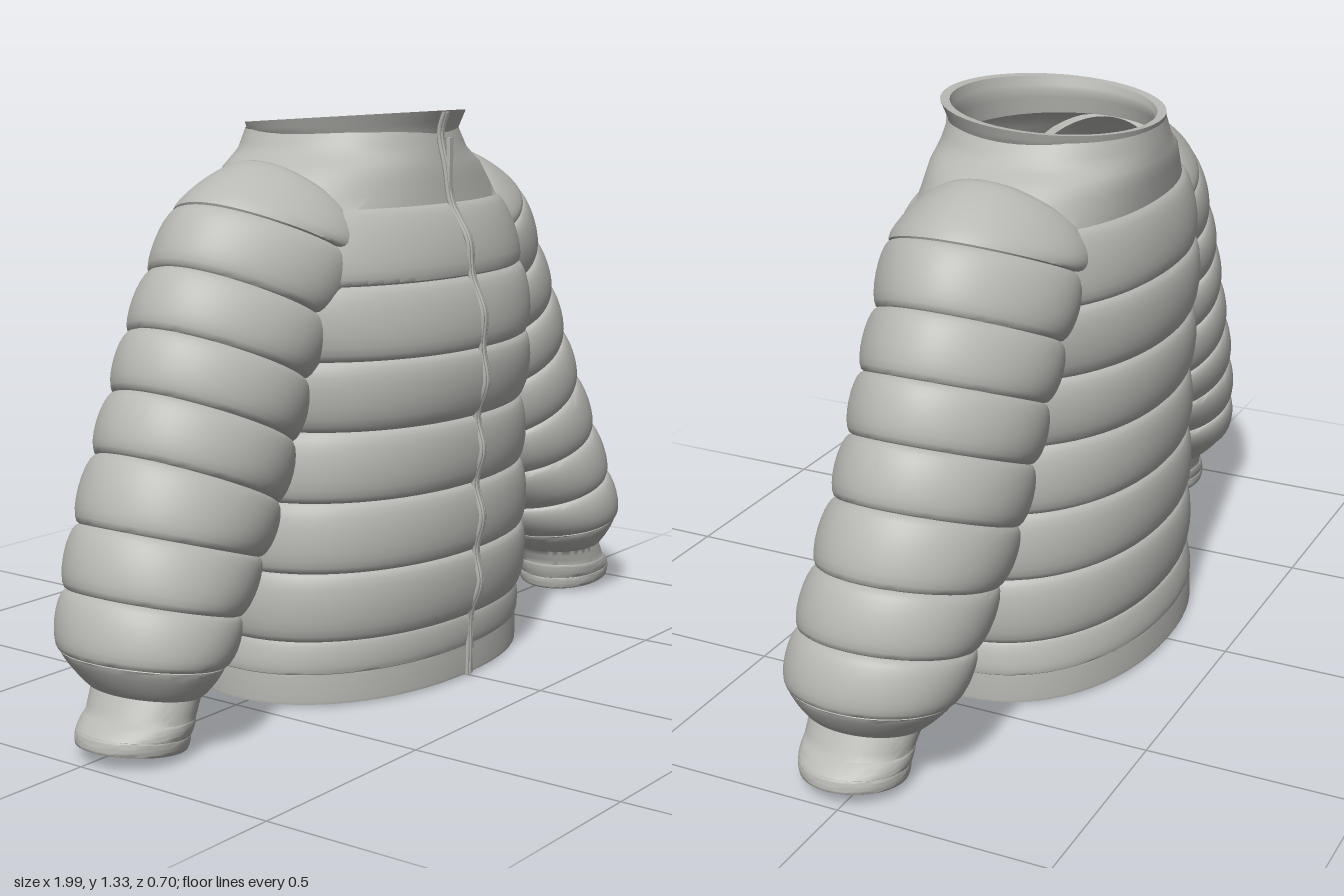
import * as THREE from 'three';
import { toCreasedNormals } from 'three/addons/utils/BufferGeometryUtils.js';

const SIDES = 64;

// Ring: [ax, ay, bx, by, zFront, zBack, tilt, flare]; a and b are the opposite ends of its
// long axis, tilt lifts the front, flare thickens the b side.
function ringPoints([ax, ay, bx, by, zf, zb, tilt, flare], grow, power) {
  const cx = (ax + bx) / 2, cy = (ay + by) / 2, cz = (zf + zb) / 2;
  const ux = (ax - bx) / 2, uy = (ay - by) / 2, len = Math.hypot(ux, uy), k = 1 + grow / len;
  const rz = (zf - zb) / 2 + grow;
  const soft = (v) => Math.sign(v) * Math.pow(Math.abs(v), 2 / power);
  const pts = [];
  for (let i = 0; i < SIDES; i++) {
    const t = (i / SIDES) * Math.PI * 2, c = soft(Math.cos(t)) * k, s = soft(Math.sin(t));
    pts.push([cx + ux * c, cy + uy * c + tilt * s, cz + rz * s * (1 - flare * c)]);
  }
  return pts;
}

// Quilted tube: each segment between two seam rings swells by its own puff amount
function quilt(rings, puffs, power = 2) {
  const loops = [];
  for (let i = 0; i < rings.length - 1; i++) {
    const steps = puffs[i] ? 10 : 3;
    for (let j = i ? 1 : 0; j <= steps; j++) {
      const f = puffs[i] ? (1 - Math.cos((j / steps) * Math.PI)) / 2 : j / steps;
      const ring = rings[i].map((v, n) => v + (rings[i + 1][n] - v) * f);
      loops.push(ringPoints(ring, puffs[i] * Math.sqrt(Math.max(0, 4 * f * (1 - f))), power));
    }
  }
  return loops;
}

// Skins the loops; faces whose corners are all hidden are left out
function loft(loops, hidden = () => false) {
  const points = loops.flat(), index = [];
  const face = (...corners) => {
    if (!corners.every((c) => hidden(points[c]))) index.push(...corners);
  };
  for (let r = 0; r < loops.length - 1; r++) {
    for (let i = 0; i < SIDES; i++) {
      const a = r * SIDES + i, b = r * SIDES + (i + 1) % SIDES;
      face(a, a + SIDES, b);
      face(b, a + SIDES, b + SIDES);
    }
  }
  const geo = new THREE.BufferGeometry();
  geo.setAttribute('position', new THREE.Float32BufferAttribute(points.flat(), 3));
  geo.setIndex(index);
  return toCreasedNormals(geo, 0.75);
}

// Body seams: [y, half width, zFront, zBack]
const BODY = [
  [0.15, 0.46, 0.298, -0.325], [0.31, 0.46, 0.31, -0.325], [0.47, 0.45, 0.307, -0.325],
  [0.63, 0.437, 0.31, -0.325], [0.79, 0.45, 0.323, -0.33], [0.955, 0.465, 0.293, -0.33],
  [1.12, 0.425, 0.235, -0.302], [1.2, 0.352, 0.222, -0.305], [1.24, 0.28, 0.212, -0.3],
  [1.285, 0.25, 0.2, -0.292],
];

// Sleeve seams from shoulder to cuff, ending in the turned-in cuff lining
const SLEEVE = [
  [0.25, 1.18, 0.15, 1.0, 0.1, -0.18, 0, 0.1], [0.36, 1.222, 0.19, 1.0, 0.15, -0.225, 0, 0.2],
  [0.56, 1.14, 0.22, 0.98, 0.175, -0.24, 0, 0.24], [0.64, 1.012, 0.29, 0.843, 0.165, -0.237, 0, 0.2],
  [0.71, 0.885, 0.345, 0.72, 0.163, -0.232, 0, 0.14], [0.765, 0.758, 0.385, 0.59, 0.163, -0.225, 0, 0.08],
  [0.825, 0.63, 0.435, 0.462, 0.168, -0.22, 0, 0.03], [0.892, 0.485, 0.505, 0.36, 0.177, -0.208, 0, 0],
  [0.942, 0.35, 0.6, 0.255, 0.19, -0.193, 0, 0], [0.98, 0.222, 0.663, 0.17, 0.198, -0.172, 0, 0],
  [0.925, 0.14, 0.725, 0.115, 0.155, -0.105, 0, 0], [0.955, 0.09, 0.742, 0.075, 0.155, -0.095, 0, 0],
  [0.99, 0.065, 0.752, 0.035, 0.152, -0.092, 0, 0], [0.995, 0.035, 0.757, 0.004, 0.145, -0.088, 0, 0],
  [0.975, 0.03, 0.778, 0.004, 0.122, -0.067, 0, 0], [0.925, 0.13, 0.755, 0.11, 0.12, -0.07, 0, 0],
];
const SLEEVE_PUFFS = [0, 0.024, 0.022, 0.022, 0.022, 0.022, 0.022, 0.021, 0.02, 0.008, 0, 0.003, 0.003, 0, 0];

function insideBody([x, y, z]) {
  const i = BODY.findIndex((b) => b[0] > y);
  if (i < 1) return false;
  const f = (y - BODY[i - 1][0]) / (BODY[i][0] - BODY[i - 1][0]);
  const [, w, zf, zb] = BODY[i].map((v, n) => BODY[i - 1][n] + (v - BODY[i - 1][n]) * f);
  return (x / w) ** 2 + ((2 * z - zf - zb) / (zf - zb)) ** 2 < 0.96;
}

// Opens the armholes: true within a thin slab around any upper sleeve ring
function insideSleeve([x, y, z]) {
  return SLEEVE.slice(2, 8).some(([ax, ay, bx, by, zf, zb]) => {
    const ux = (ax - bx) / 2, uy = (ay - by) / 2, len = Math.hypot(ux, uy);
    const dx = Math.abs(x) - (ax + bx) / 2, dy = y - (ay + by) / 2;
    const along = (dx * ux + dy * uy) / len ** 2, off = (dy * ux - dx * uy) / len;
    return Math.abs(off) < 0.075 && along ** 2 + ((2 * z - zf - zb) / (zf - zb)) ** 2 < 0.82;
  });
}

export function createModel() {
  const model = new THREE.Group();
  model.name = 'pufferJacket';
  const shell = new THREE.MeshStandardMaterial({ color: 0xb8b8b4, side: THREE.DoubleSide });
  shell.name = 'grey shell';
  const add = (name, geo) => {
    const mesh = new THREE.Mesh(geo, shell);
    mesh.name = name;
    model.add(mesh);
    return mesh;
  };
  const level = (y, w, zf, zb, tilt = 0) => [w, y, -w, y, zf, zb, tilt, 0];

  // Hem band, with its lining turned up inside
  add('hemBand', loft(quilt([
    level(0.14, 0.44, 0.27, -0.31), level(0.01, 0.445, 0.272, -0.322),
    level(0, 0.455, 0.285, -0.335), level(0.005, 0.472, 0.298, -0.35),
    level(0.075, 0.472, 0.296, -0.345), level(0.155, 0.458, 0.297, -0.33),
  ], [0, 0, 0, 0.001, 0.008], 2.15)));

  // Body: one puff between each pair of seams, then the plain yoke up to the neck
  add('body', loft(quilt(BODY.map((b) => level(...b)),
    [0.021, 0.021, 0.022, 0.024, 0.024, 0.022, 0, 0, 0], 2.15), insideSleeve));

  // Collar: flared band, higher at the front
  add('collar', loft(quilt([
    level(1.272, 0.25, 0.2, -0.288), level(1.285, 0.257, 0.206, -0.29, 0.008),
    level(1.313, 0.267, 0.222, -0.294, 0.018), level(1.311, 0.246, 0.2, -0.273, 0.018),
    level(1.285, 0.238, 0.192, -0.268, 0.008), level(1.23, 0.25, 0.195, -0.275),
  ], [0, 0, 0, 0, 0])));

  // Sleeves, the right one mirrored
  const loops = quilt(SLEEVE, SLEEVE_PUFFS);
  add('leftSleeve', loft([...loops].reverse(), insideBody));
  add('rightSleeve', loft(loops.map((loop) => loop.map(([x, y, z]) => [-x, y, z])), insideBody));

  // Zip: three slim cords side by side, riding over the front puffs
  const front = [[0.004, 0.3], [0.075, 0.301], [0.15, 0.302]];
  for (let i = 0; i < 6; i++) {
    const [y0, , z0] = BODY[i], [y1, , z1] = BODY[i + 1];
    front.push([(y0 + y1) / 2, (z0 + z1) / 2 + 0.026], [y1, z1 + 0.007]);
  }
  front.push([1.2, 0.227], [1.28, 0.21], [1.328, 0.224]);
  ['rightZipCord', 'zipTeeth', 'leftZipCord'].forEach((name, i) => {
    const path = new THREE.CatmullRomCurve3(front.map(([y, z]) => new THREE.Vector3((i - 1) * 0.008, y, z)));
    add(name, new THREE.TubeGeometry(path, 120, i === 1 ? 0.007 : 0.005, 6));
  });

  // Slim zip pull hanging under the collar
  add('zipPull', new THREE.BoxGeometry(0.014, 0.15, 0.008)).position.set(0, 1.195, 0.236);
  return model;
}
